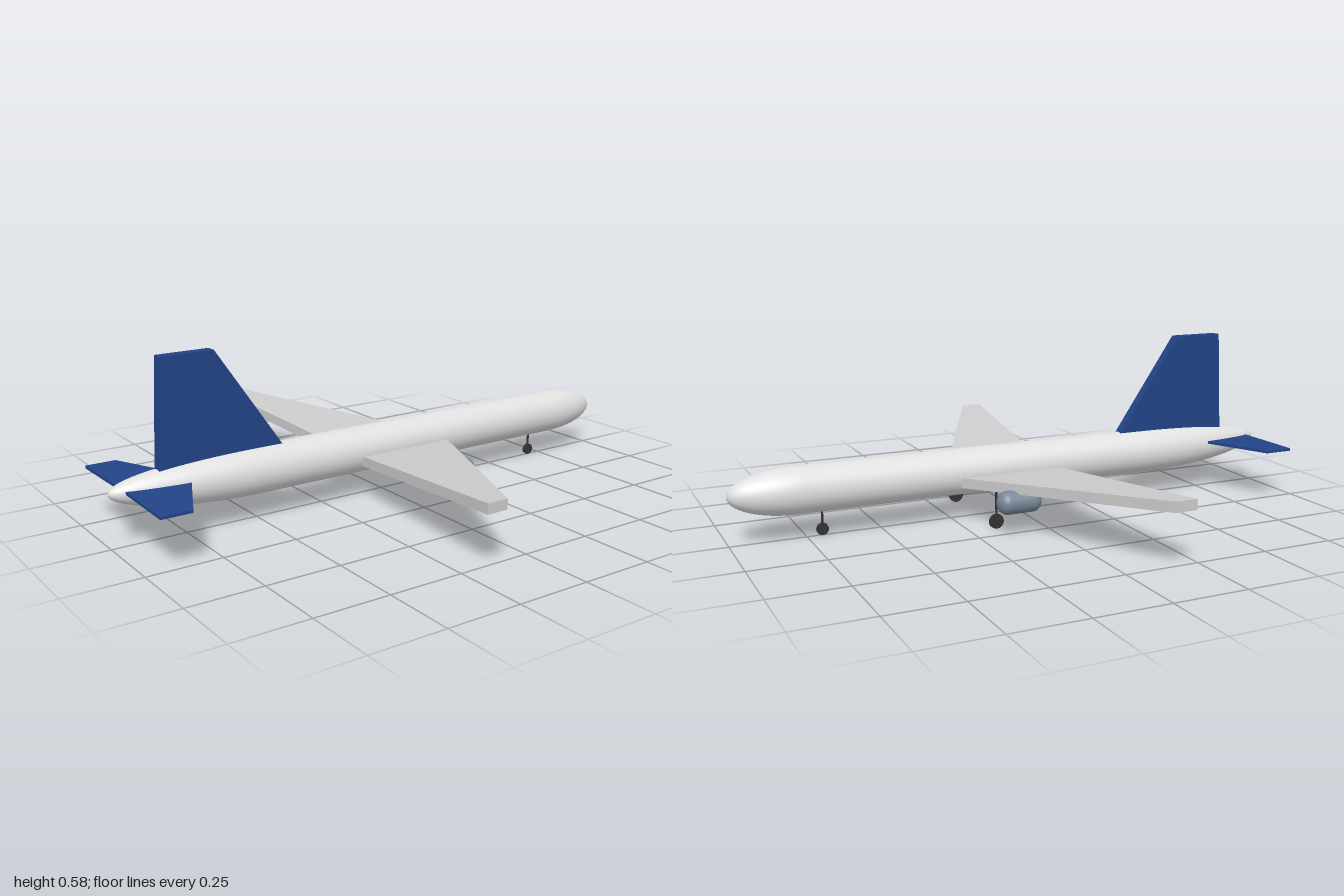
import * as THREE from 'three';

const material = (name, color) => new THREE.MeshStandardMaterial({ name, color });

export function createModel() {
  const plane = new THREE.Group();
  plane.name = 'airliner';
  const bodyGrey = material('bodyGrey', 0xe0e0e0);
  const wingGrey = material('wingGrey', 0xcccccc);
  const tailBlue = material('tailBlue', 0x224488);
  const engineGrey = material('engineGrey', 0x778899);
  const gearDark = material('gearDark', 0x333333);

  const add = (name, geometry, mat, x = 0, y = 0, z = 0) => {
    const mesh = new THREE.Mesh(geometry, mat);
    mesh.name = name;
    mesh.position.set(x, y, z);
    plane.add(mesh);
    return mesh;
  };

  // Round body along x with elliptical ends: radius r, end depths a (rear) and b (front)
  const roundBody = (x0, x1, r, a, b, sides) => {
    const points = [];
    const n = 16;
    for (let i = 0; i <= n; i++) {
      const t = (i / n) * Math.PI / 2;
      points.push(new THREE.Vector2(r * Math.sin(t), x0 + a * (1 - Math.cos(t))));
    }
    for (let i = n; i >= 0; i--) {
      const t = (i / n) * Math.PI / 2;
      points.push(new THREE.Vector2(r * Math.sin(t), x1 - b * (1 - Math.cos(t))));
    }
    return new THREE.LatheGeometry(points, sides).rotateZ(-Math.PI / 2);
  };

  // Flat slab from an outline of [x, y] points, centred on its thickness
  const slab = (outline, thickness) => {
    const shape = new THREE.Shape(outline.map(([x, y]) => new THREE.Vector2(x, y)));
    return new THREE.ExtrudeGeometry(shape, { depth: thickness, bevelEnabled: false })
      .translate(0, 0, -thickness / 2);
  };

  // Fuselage, with the tail end swept slightly upwards
  const fuselage = roundBody(-1, 1, 0.079, 0.5, 0.22, 48);
  const pos = fuselage.attributes.position;
  for (let i = 0; i < pos.count; i++) {
    const t = Math.max(0, (-0.5 - pos.getX(i)) / 0.5);
    pos.setY(i, pos.getY(i) + 0.014 * t * t);
  }
  add('fuselage', fuselage, bodyGrey, 0, 0.161, 0);

  // Tail fin
  add('tailFin', slab([[-0.84, 0.215], [-0.40, 0.215], [-0.405, 0.235], [-0.64, 0.577], [-0.82, 0.577]], 0.036), tailBlue);

  for (const [side, s] of [['left', -1], ['right', 1]]) {
    // Wing, raised towards the tip
    const wing = slab([[-0.125, 0.06 * s], [0.243, 0.06 * s], [-0.13, 0.805 * s], [-0.203, 0.805 * s]], 0.034)
      .rotateX(Math.PI / 2);
    const p = wing.attributes.position;
    for (let i = 0; i < p.count; i++) p.setY(i, p.getY(i) + 0.0875 * Math.abs(p.getZ(i)));
    wing.computeVertexNormals();
    add(side + 'Wing', wing, wingGrey, 0, 0.132, 0);

    // Tailplane
    const tailplane = slab([[-0.955, 0], [-0.726, 0], [-0.858, 0.287 * s], [-0.96, 0.287 * s]], 0.009)
      .rotateX(Math.PI / 2);
    add(side + 'Tailplane', tailplane, tailBlue, 0, 0.18, 0);

    // Engine
    add(side + 'Engine', roundBody(0.04, 0.193, 0.039, 0.033, 0.033, 24), engineGrey, 0, 0.111, 0.266 * s);
  }

  // Landing gear: strut from the wheel hub up to the airframe
  const gear = (name, x, z, r, top) => {
    add(name + 'Wheel', new THREE.CylinderGeometry(r, r, 0.011, 16).rotateX(Math.PI / 2), gearDark, x, r, z);
    add(name + 'Strut', new THREE.CylinderGeometry(0.004, 0.004, top - r, 8), gearDark, x, (top + r) / 2, z);
  };
  gear('nose', 0.698, 0, 0.02, 0.1);
  gear('leftMain', 0.158, -0.178, 0.025, 0.14);
  gear('rightMain', 0.158, 0.178, 0.025, 0.14);

  return plane;
}
